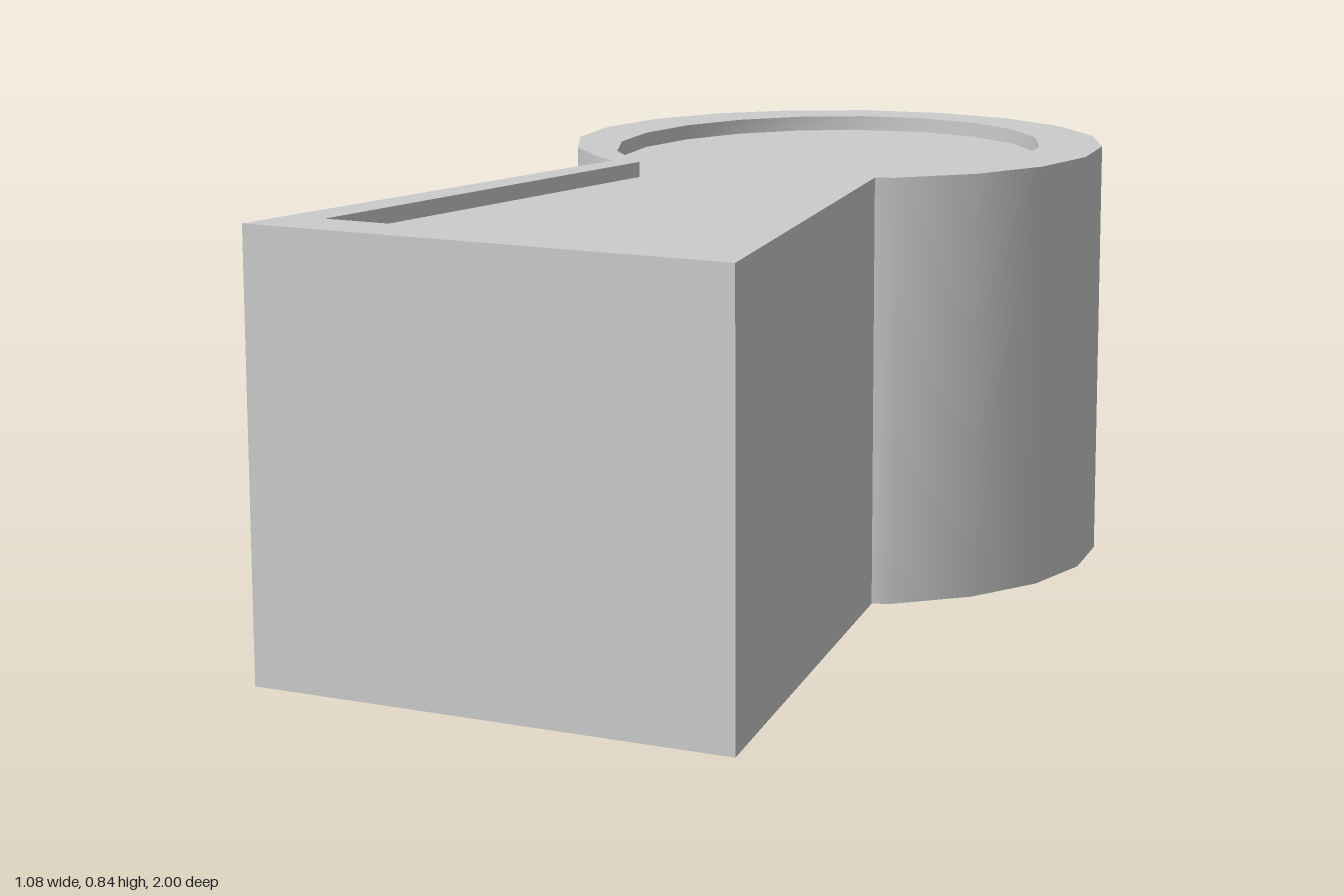
import * as THREE from 'three';
import { toCreasedNormals } from 'three/addons/utils/BufferGeometryUtils.js';

const HEIGHT = 0.84, FLOOR = 0.81;

// Keyhole outline in (x, z): round head at the back, flared foot at the front
function keyhole(cz, rx, rz, neckX, neckZ, footX, footZ) {
  const half = [];
  for (let k = 0; k <= 8; k++) {
    const a = (k * Math.PI) / 10;
    half.push(new THREE.Vector2(rx * Math.sin(a), cz - rz * Math.cos(a)));
  }
  half.push(new THREE.Vector2(neckX, neckZ), new THREE.Vector2(footX, footZ));
  const mirrored = half.slice(1).reverse().map((p) => new THREE.Vector2(-p.x, p.y));
  return [...half, ...mirrored];
}

// Upright wall following an outline, facing outward or inward
function wall(points, y0, y1, inward) {
  const pos = [];
  points.forEach((p, i) => {
    const q = points[(i + 1) % points.length];
    const [a, b] = inward ? [q, p] : [p, q];
    pos.push(a.x, y0, a.y, a.x, y1, a.y, b.x, y0, b.y);
    pos.push(b.x, y0, b.y, a.x, y1, a.y, b.x, y1, b.y);
  });
  const geo = new THREE.BufferGeometry();
  geo.setAttribute('position', new THREE.Float32BufferAttribute(pos, 3));
  return toCreasedNormals(geo, Math.PI / 6);
}

// Level face filling an outline, facing up or down, with an optional hole
function level(points, y, up, hole) {
  const s = up ? -1 : 1;
  const flip = (list) => list.map((p) => new THREE.Vector2(p.x, s * p.y));
  const shape = new THREE.Shape(flip(points));
  if (hole) shape.holes.push(new THREE.Path(flip(hole)));
  return new THREE.ShapeGeometry(shape).rotateX((s * Math.PI) / 2).translate(0, y, 0);
}

export function createModel() {
  const group = new THREE.Group();
  group.name = 'keyholeBlock';
  const material = new THREE.MeshStandardMaterial({ color: 0xcccccc });
  const add = (name, geometry) => {
    const mesh = new THREE.Mesh(geometry, material);
    mesh.name = name;
    group.add(mesh);
  };

  const outer = keyhole(-0.46, 0.54, 0.54, 0.282, -0.008, 0.48, 1);
  const inner = keyhole(-0.415, 0.422, 0.48, 0.225, -0.008, 0.38, 0.89);

  // Solid body
  add('outerWall', wall(outer, 0, HEIGHT, false));
  add('base', level(outer, 0, false));

  // Raised rim around the shallow recess
  add('rim', level(outer, HEIGHT, true, inner));
  add('recessWall', wall(inner, FLOOR, HEIGHT, true));
  add('recessFloor', level(inner, FLOOR, true));

  return group;
}
